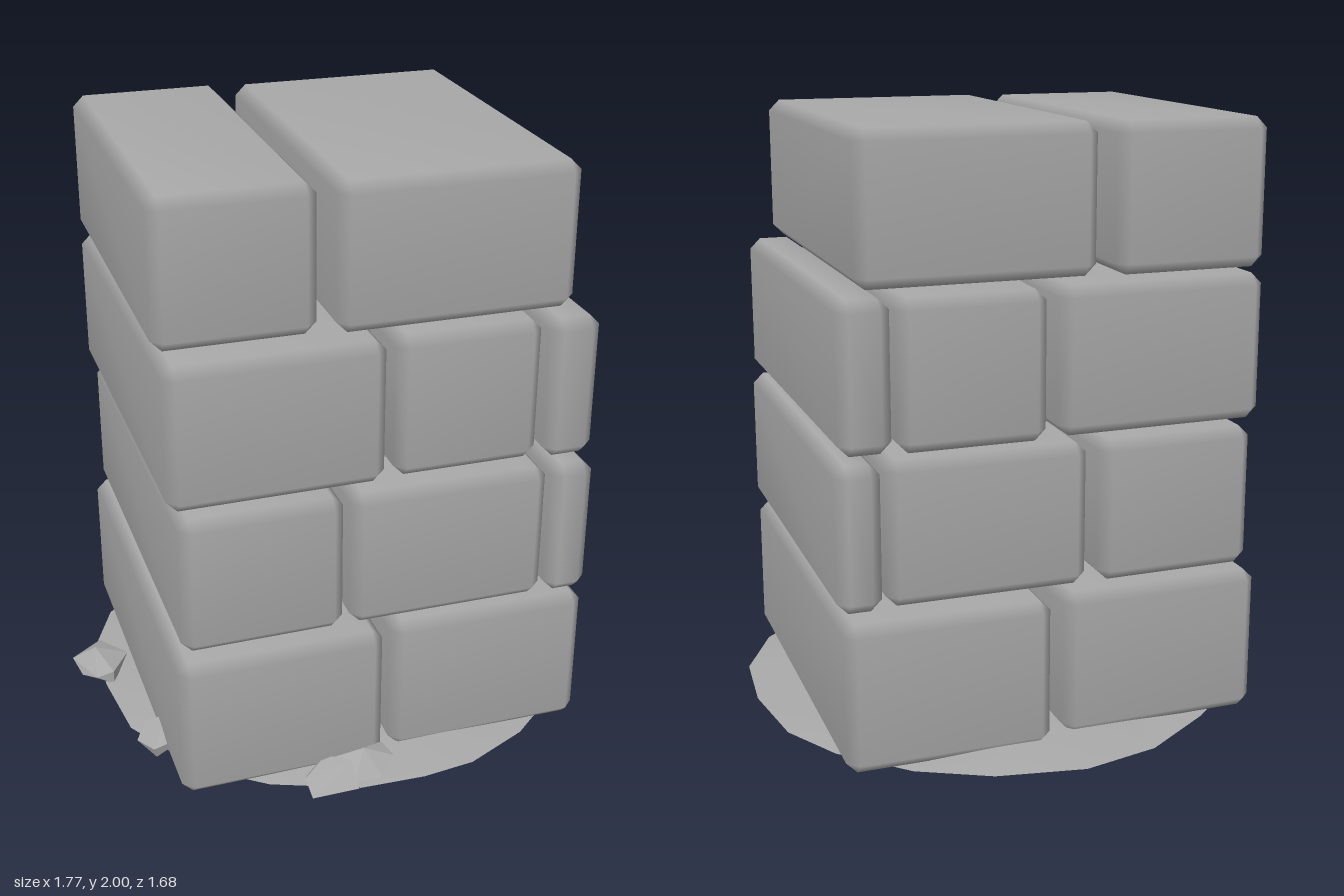
import * as THREE from 'three';
import { mergeVertices } from 'three/addons/utils/BufferGeometryUtils.js';
import { ConvexGeometry } from 'three/addons/geometries/ConvexGeometry.js';

const stone = new THREE.MeshStandardMaterial({ color: 0xa8a8a8 });
stone.name = 'stone grey';
const ground = new THREE.MeshStandardMaterial({ color: 0xa8a8a8, side: THREE.DoubleSide });
ground.name = 'ground grey';

const hull = (points) => new ConvexGeometry(points.map((p) => new THREE.Vector3(...p)));

// Box with one chamfer on every edge, shaded smoothly across the chamfers
function chamferedBox(w, h, d, c) {
  const points = [];
  for (const sx of [-1, 1]) for (const sy of [-1, 1]) for (const sz of [-1, 1]) {
    const x = w / 2, y = h / 2, z = d / 2;
    points.push([sx * x, sy * (y - c), sz * (z - c)]);
    points.push([sx * (x - c), sy * y, sz * (z - c)]);
    points.push([sx * (x - c), sy * (y - c), sz * z]);
  }
  let g = hull(points);
  g.deleteAttribute('normal');
  g = mergeVertices(g, 1e-4);
  g.computeVertexNormals();
  return g;
}

export function createModel() {
  const model = new THREE.Group();
  model.name = 'stoneBlockPillar';

  // Courses of blocks: [x from, x to, z from, z to, turn]
  const courses = [
    { y0: 0.01, y1: 0.505, blocks: [
      [-0.685, 0.0, -0.64, 0.715, 0.0], [0.04, 0.735, -0.67, 0.69, -0.015]] },
    { y0: 0.525, y1: 1.0, blocks: [
      [-0.66, -0.125, -0.62, 0.675, 0.0], [-0.1, 0.58, -0.61, 0.68, -0.015],
      [0.58, 0.74, -0.62, 0.695, -0.015]] },
    { y0: 1.025, y1: 1.505, blocks: [
      [-0.685, 0.015, -0.62, 0.66, 0.0], [0.05, 0.545, -0.635, 0.65, -0.012],
      [0.55, 0.725, -0.61, 0.675, -0.005]] },
    { y0: 1.525, y1: 2.0, blocks: [
      [-0.695, -0.175, -0.615, 0.59, -0.01], [-0.132, 0.655, -0.585, 0.625, -0.012]] },
  ];
  courses.forEach(({ y0, y1, blocks }, i) => {
    const course = new THREE.Group();
    course.name = `course${i + 1}`;
    blocks.forEach(([x0, x1, z0, z1, turn], j) => {
      // narrow the footprint so the turned block keeps its overall width
      const w = x1 - x0 - Math.abs(turn) * (z1 - z0) * 0.8;
      const block = new THREE.Mesh(chamferedBox(w, y1 - y0, z1 - z0, 0.036), stone);
      block.position.set((x0 + x1) / 2, (y0 + y1) / 2, (z0 + z1) / 2);
      block.rotation.y = turn;
      block.name = `block${i + 1}_${j + 1}`;
      course.add(block);
    });
    model.add(course);
  });

  // Low mound of earth around the foot: irregular rim, rings rising to the middle
  const rim = [[0.01, -0.845], [0.3, -0.79], [0.53, -0.67], [0.73, -0.47], [0.84, -0.27], [0.88, 0.02],
    [0.855, 0.29], [0.73, 0.53], [0.5, 0.72], [0.28, 0.82], [0.1, 0.84], [-0.12, 0.83], [-0.4, 0.72],
    [-0.6, 0.57], [-0.77, 0.28], [-0.8, 0.0], [-0.78, -0.27], [-0.69, -0.46], [-0.5, -0.63], [-0.25, -0.79]];
  const rings = [[1, 0.003], [0.82, 0.025], [0.5, 0.04]];
  const n = rim.length, verts = [], faces = [];
  for (const [s, y] of rings) {
    rim.forEach(([x, z], i) => verts.push(x * s, s < 1 ? y + 0.008 * Math.sin(i * 2.3) : y, z * s));
  }
  verts.push(0, 0.045, 0);
  for (let i = 0; i < n; i++) {
    const k = (i + 1) % n;
    for (let r = 0; r < rings.length - 1; r++) {
      const a = r * n + i, b = r * n + k;
      faces.push(a, a + n, b, b, a + n, b + n);
    }
    const last = (rings.length - 1) * n;
    faces.push(last + i, rings.length * n, last + k);
  }
  const moundGeo = new THREE.BufferGeometry();
  moundGeo.setAttribute('position', new THREE.Float32BufferAttribute(verts, 3));
  moundGeo.setIndex(faces);
  moundGeo.computeVertexNormals();
  const mound = new THREE.Mesh(moundGeo, ground);
  mound.name = 'earthMound';
  model.add(mound);

  // Loose angular stones at the foot
  const rubble = {
    sideStone: [[-0.89, 0.03, -0.16], [-0.87, 0.005, -0.08], [-0.78, 0.0, -0.2], [-0.78, 0.06, -0.2],
      [-0.695, 0.04, -0.12], [-0.77, 0.0, 0.0], [-0.81, 0.08, -0.13], [-0.83, 0.03, -0.01], [-0.77, 0.05, 0.0]],
    smallStone: [[-0.77, 0.03, 0.39], [-0.74, 0.0, 0.33], [-0.73, 0.06, 0.33], [-0.73, 0.04, 0.47],
      [-0.72, 0.0, 0.46], [-0.66, 0.09, 0.36], [-0.62, 0.07, 0.47], [-0.62, 0.0, 0.4]],
    frontSlab: [[-0.29, 0.01, 0.84], [-0.29, 0.03, 0.76], [-0.26, 0.0, 0.7], [-0.2, 0.06, 0.7],
      [-0.13, 0.065, 0.76], [-0.13, 0.01, 0.84], [-0.12, 0.0, 0.7]],
    frontStone: [[-0.18, 0.06, 0.72], [-0.14, 0.02, 0.82], [-0.08, 0.09, 0.74], [0.02, 0.05, 0.76],
      [-0.04, 0.02, 0.82], [0.0, 0.06, 0.69], [-0.15, 0.01, 0.68], [0.01, 0.01, 0.7]],
  };
  for (const [name, points] of Object.entries(rubble)) {
    const rock = new THREE.Mesh(hull(points), stone);
    rock.name = name;
    model.add(rock);
  }
  return model;
}
